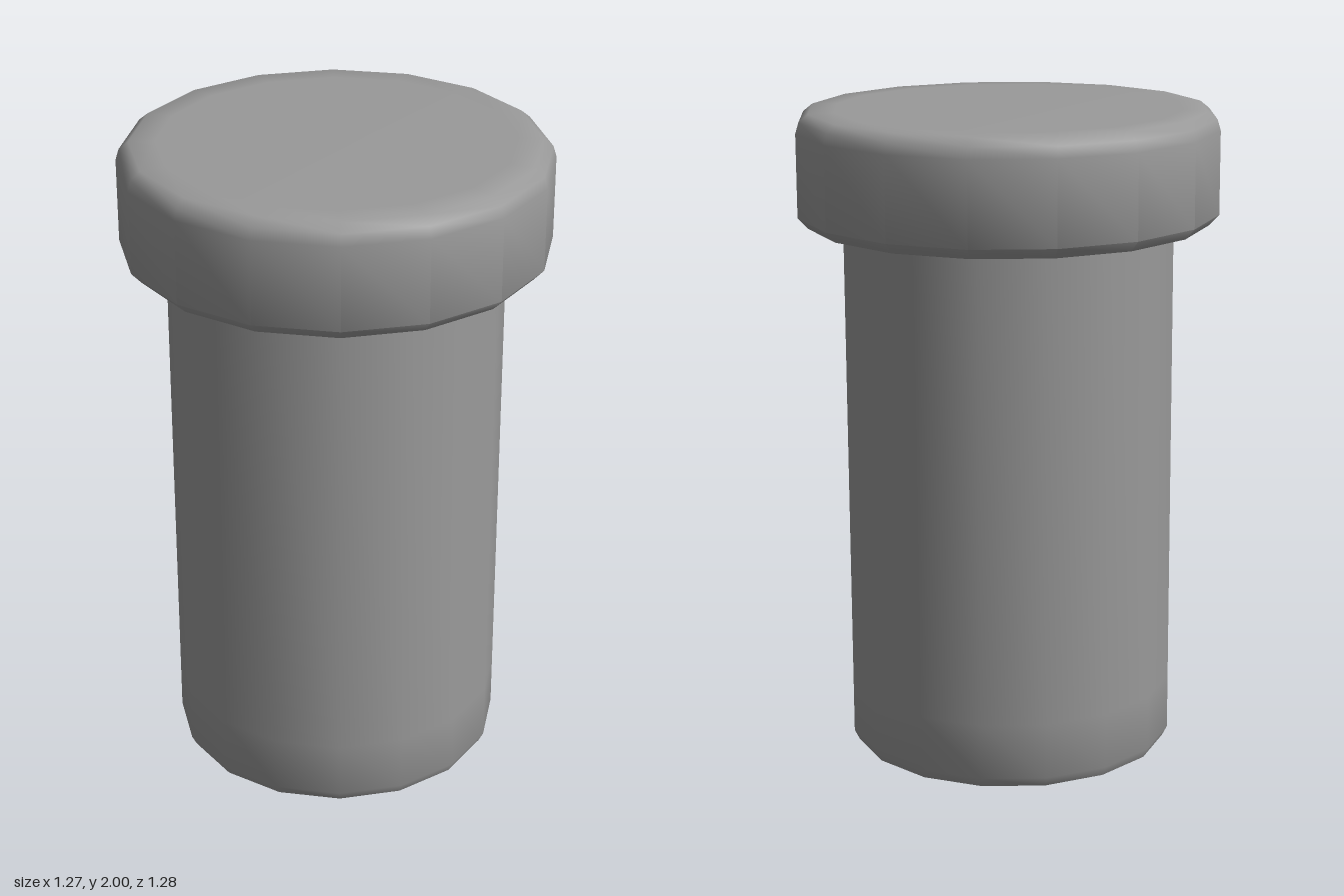
import * as THREE from 'three';
import { toCreasedNormals } from 'three/addons/utils/BufferGeometryUtils.js';

const SIDES = 16;

// Turned solid from [radius, height] pairs, listed bottom to top
function turned(name, profile, material) {
  const points = profile.map(([r, y]) => new THREE.Vector2(r, y));
  const geometry = toCreasedNormals(new THREE.LatheGeometry(points, SIDES), 0.75);
  const mesh = new THREE.Mesh(geometry, material);
  mesh.name = name;
  return mesh;
}

export function createModel() {
  const material = new THREE.MeshStandardMaterial({ color: 0x9a9a9a });
  const pin = new THREE.Group();
  pin.name = 'pin';

  // Shank with a small chamfer at the foot that blends into the wall
  pin.add(turned('shank', [
    [0, 0], [0.485, 0], [0.5, 0.03], [0.5, 0.2], [0.5, 1.64],
  ], material));

  // Wide head: crisp chamfer below, softened rim above
  pin.add(turned('head', [
    [0, 1.63], [0.605, 1.63], [0.635, 1.662],
    [0.635, 1.912], [0.625, 1.945], [0.597, 1.968], [0.52, 1.97], [0, 1.97],
  ], material));

  // The whole pin leans slightly backwards
  pin.rotation.x = -0.028;
  pin.position.set(0, 0.014, 0.05);

  const model = new THREE.Group();
  model.name = 'headedPin';
  model.add(pin);
  return model;
}
